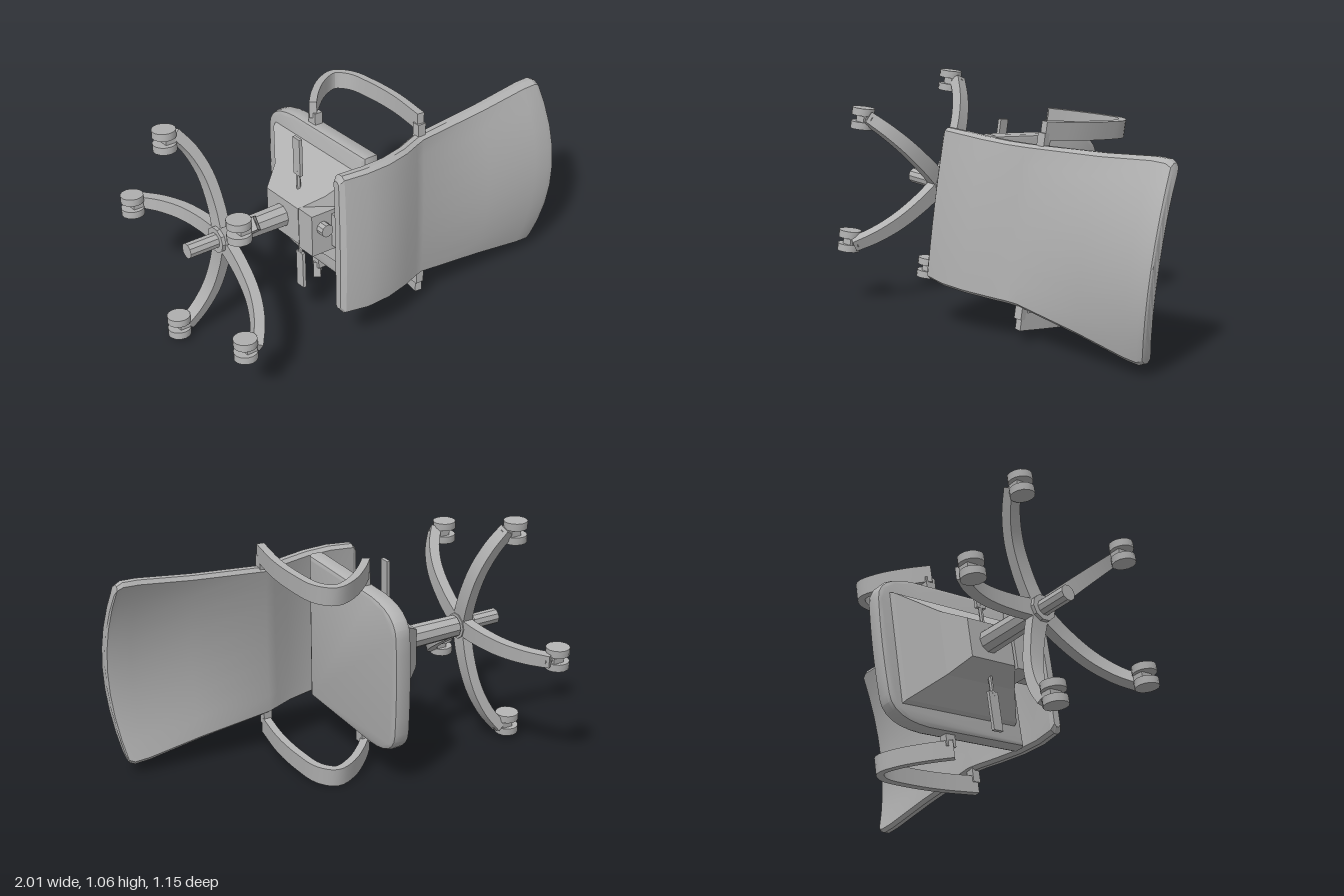
import * as THREE from 'three';
import { toCreasedNormals } from 'three/addons/utils/BufferGeometryUtils.js';

// Skin rings of equal (even) point count, each [x, y, z], and close both ends
function loft(rings, crease = 0.45) {
  const n = rings[0].length, idx = [], last = (rings.length - 1) * n;
  for (let i = 0; i < rings.length - 1; i++) {
    for (let j = 0; j < n; j++) {
      const a = i * n + j, b = i * n + (j + 1) % n;
      idx.push(a, a + n, b + n, a, b + n, b);
    }
  }
  for (let j = 0; j < n / 2 - 1; j++) {
    const q = [j, j + 1, n - 2 - j, n - 1 - j];
    idx.push(q[0], q[1], q[2], q[0], q[2], q[3]);
    idx.push(last + q[0], last + q[2], last + q[1], last + q[0], last + q[3], last + q[2]);
  }
  const g = new THREE.BufferGeometry();
  g.setAttribute('position', new THREE.Float32BufferAttribute(rings.flat(2), 3));
  g.setIndex(idx);
  return toCreasedNormals(g, crease);
}

// Sweep a flat bar along a smooth path of [y, z] points
function bar(path, w0, w1, thick, steps = 16) {
  const curve = new THREE.CatmullRomCurve3(path.map(([y, z]) => new THREE.Vector3(0, y, z)));
  const rings = [];
  for (let i = 0; i <= steps; i++) {
    const t = i / steps, p = curve.getPoint(t), d = curve.getTangent(t);
    const w = (w0 + (w1 - w0) * t) / 2, ny = -d.z * thick / 2, nz = d.y * thick / 2;
    rings.push([[-w, p.y - ny, p.z - nz], [w, p.y - ny, p.z - nz],
      [w, p.y + ny, p.z + nz], [-w, p.y + ny, p.z + nz]]);
  }
  return loft(rings);
}

export function createModel() {
  const grey = new THREE.MeshStandardMaterial({ color: 0xb2b2b2 });
  grey.name = 'grey';
  const chair = new THREE.Group();
  chair.name = 'officeChair';
  const add = (name, geo, x = 0, y = 0, z = 0, parent = chair) => {
    const m = new THREE.Mesh(geo, grey);
    m.name = name;
    m.position.set(x, y, z);
    parent.add(m);
    return m;
  };
  const box = (x, y, z) => new THREE.BoxGeometry(x, y, z);
  const cyl = (r0, r1, h, n = 12) => toCreasedNormals(new THREE.CylinderGeometry(r0, r1, h, n), 0.6);

  // Gas column
  add('columnLower', cyl(0.036, 0.036, 0.24, 10), 0, 0.1, 0);
  add('columnUpper', cyl(0.055, 0.05, 0.3, 10), 0, 0.35, 0);
  add('baseHub', cyl(0.06, 0.06, 0.07, 10), 0, 0.16, 0);

  // Five arched legs, with twin-wheel casters that all face the same way
  const legGeo = bar([[0.165, 0.02], [0.168, 0.15], [0.15, 0.3], [0.105, 0.42], [0.045, 0.51]], 0.08, 0.055, 0.048);
  const wheelGeo = cyl(0.053, 0.053, 0.034, 14).rotateZ(Math.PI / 2);
  for (let i = 0; i < 5; i++) {
    const a = i * Math.PI * 2 / 5;
    add('leg', legGeo).rotation.y = a;
    const caster = new THREE.Group();
    caster.name = 'caster';
    caster.position.set(Math.sin(a) * 0.495, 0, Math.cos(a) * 0.495);
    for (const s of [-1, 1]) add('wheel', wheelGeo, s * 0.032, 0, 0, caster);
    add('casterBody', box(0.03, 0.05, 0.06), 0, 0.015, 0, caster);
    add('casterPin', cyl(0.018, 0.018, 0.06, 8), 0, 0.045, 0, caster);
    chair.add(caster);
  }

  // Tapered mechanism housing under the seat
  const frame = (y, x, z0, z1) => [[-x, y, z0], [x, y, z0], [x, y, z1], [-x, y, z1]];
  add('mechanismHousing', loft([frame(0.475, 0.09, -0.13, 0.11), frame(0.57, 0.15, -0.2, 0.18),
    frame(0.67, 0.25, -0.28, 0.33), frame(0.71, 0.27, -0.29, 0.35)], 0.2));
  add('tiltBox', box(0.2, 0.15, 0.1), 0, 0.545, -0.19);
  add('backSupport', box(0.16, 0.05, 0.2), 0, 0.6, -0.28);
  add('tiltKnob', cyl(0.03, 0.03, 0.05, 10).rotateX(Math.PI / 2), 0.03, 0.525, -0.255);
  for (const s of [-1, 1]) {
    add('leverRod', cyl(0.01, 0.01, 0.14, 6).rotateZ(Math.PI / 2), s * 0.15, 0.545, -0.04);
    add('lever', box(0.18, 0.016, 0.05), s * 0.29, 0.545, -0.04);
  }

  // Seat cushion with rounded corners
  const seat = new THREE.Shape();
  const r = 0.1;
  seat.moveTo(-0.33, -0.31);
  seat.lineTo(0.33, -0.31);
  seat.lineTo(0.33, 0.2);
  seat.quadraticCurveTo(0.32, 0.38, 0.32 - r, 0.385);
  seat.quadraticCurveTo(0, 0.4, -0.32 + r, 0.385);
  seat.quadraticCurveTo(-0.32, 0.38, -0.33, 0.2);
  seat.closePath();
  const seatGeo = new THREE.ExtrudeGeometry(seat, { depth: 0.04, bevelThickness: 0.02,
    bevelSize: 0.02, bevelSegments: 2, curveSegments: 6 }).rotateX(Math.PI / 2);
  add('seat', toCreasedNormals(seatGeo, 0.5), 0, 0.75, 0);

  // Backrest rows: height, half width, rear depth at the edge and at the centre, thickness, crown
  const rows = [
    [0.51, 0.32, -0.385, -0.39, 0.035, 0], [0.53, 0.345, -0.4, -0.41, 0.06, 0],
    [0.64, 0.35, -0.418, -0.43, 0.065, 0], [0.76, 0.35, -0.412, -0.425, 0.065, 0],
    [0.88, 0.35, -0.383, -0.395, 0.065, 0], [0.96, 0.352, -0.352, -0.36, 0.065, 0],
    [1.01, 0.355, -0.335, -0.345, 0.065, 0], [1.35, 0.39, -0.33, -0.385, 0.065, 0.01],
    [1.6, 0.425, -0.325, -0.41, 0.065, 0.03], [1.67, 0.428, -0.325, -0.415, 0.065, 0.035],
    [1.695, 0.415, -0.32, -0.412, 0.055, 0.04], [1.705, 0.39, -0.315, -0.405, 0.035, 0.035],
  ];
  const ts = [-0.96, -0.75, -0.5, -0.25, 0, 0.25, 0.5, 0.75, 0.96];
  add('backrest', loft(rows.map(([y, w, fe, fc, th, crown]) => {
    const pt = (t, k) => [t * w, y + crown * (1 - t * t), fc + (fe - fc) * t * t + th * k];
    return [...ts.map(t => pt(t, 0)), pt(1, 0.3), pt(1, 0.7),
      ...ts.slice().reverse().map(t => pt(t, 1)), pt(-1, 0.7), pt(-1, 0.3)];
  })));

  // Looped armrests, joined to the seat side and the backrest edge
  const armGeo = bar([[0.71, 0.07], [0.78, 0.15], [0.88, 0.235], [0.97, 0.268], [1.025, 0.21],
    [1.045, 0.08], [1.045, -0.1], [1.015, -0.31]], 0.08, 0.08, 0.034, 28);
  for (const s of [-1, 1]) {
    add('armrest', armGeo, s * 0.42, 0, 0);
    add('armSeatBracket', box(0.08, 0.04, 0.05), s * 0.365, 0.73, 0.08);
    add('armBackBracket', box(0.08, 0.04, 0.04), s * 0.37, 1.015, -0.3);
  }

  // Lay the chair on its side
  const up = new THREE.Vector3(0.92, -0.07, -0.385).normalize();
  const front = new THREE.Vector3(0.022, 0.99, -0.125).cross(up).normalize();
  const side = up.clone().cross(front);
  chair.applyMatrix4(new THREE.Matrix4().makeBasis(side, up, front).setPosition(-0.76, 0.557, 0.11));
  const model = new THREE.Group();
  model.name = 'model';
  model.add(chair);
  return model;
}
